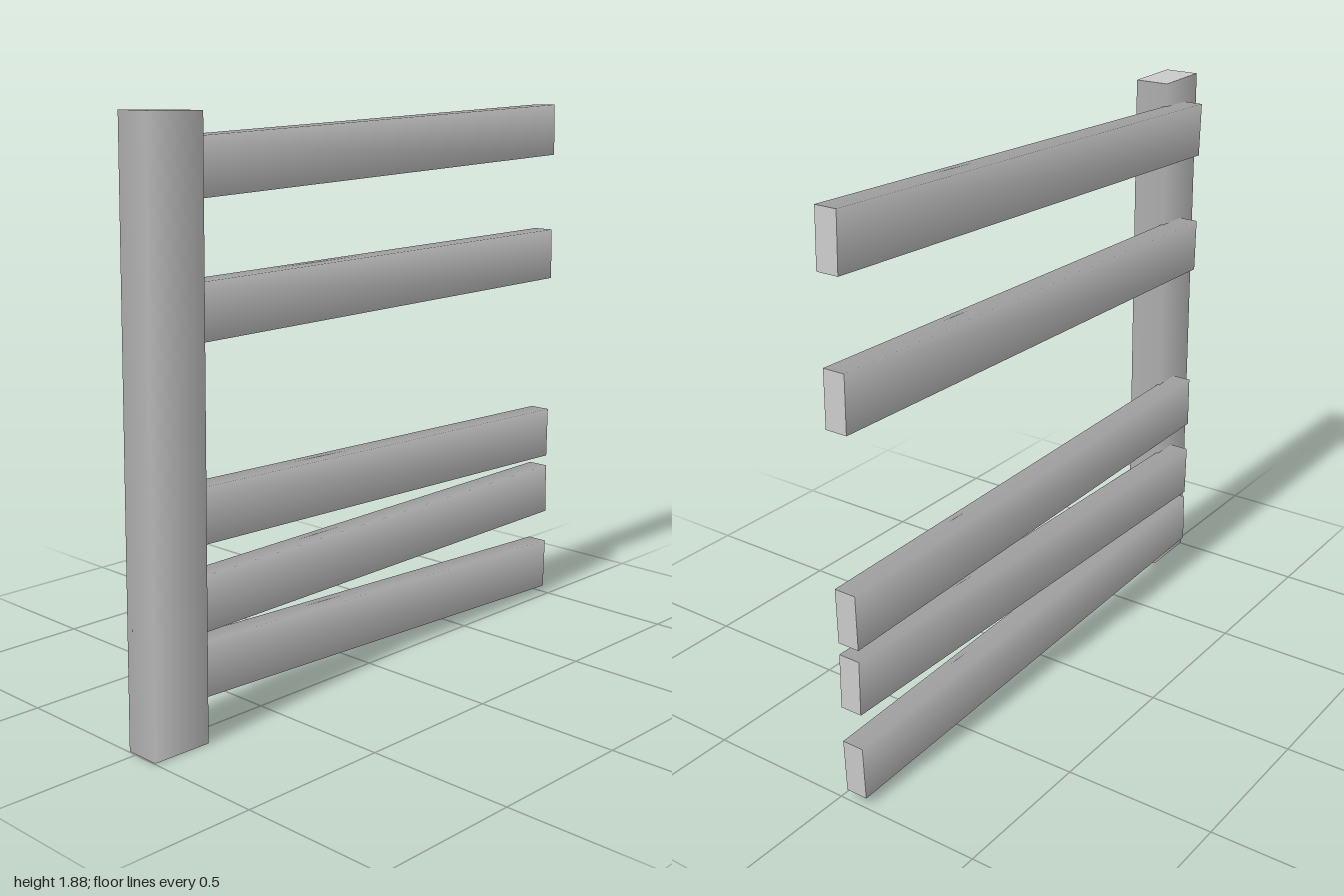
import * as THREE from 'three';

const DEG = Math.PI / 180;
const material = new THREE.MeshStandardMaterial({ color: 0xcccccc });

// Four-sided timber along y: sides shaded smoothly around the length, flat ends
function timber(name, width, length, depth) {
  const geometry = new THREE.CylinderGeometry(Math.SQRT1_2, Math.SQRT1_2, 1, 4);
  geometry.rotateY(Math.PI / 4);
  geometry.scale(width, length, depth);
  const mesh = new THREE.Mesh(geometry, material);
  mesh.name = name;
  return mesh;
}

export function createModel() {
  const group = new THREE.Group();
  group.name = 'fenceSection';

  // Post, leaning slightly
  const post = timber('post', 0.203, 1.873, 0.12);
  post.position.set(-0.883, 0.94, 0.034);
  post.rotation.z = -1 * DEG;
  group.add(post);

  // Rails fixed to the back of the post: [centre height, tilt in degrees]
  const rails = [[0.152, -2], [0.402, 1], [0.654, -1], [1.299, 1], [1.735, 2]];
  rails.forEach(([y, tilt], i) => {
    const rail = timber(`rail${i + 1}`, 0.18, 1.885, 0.075);
    rail.position.set(0.053, y, -0.0565);
    rail.rotation.z = Math.PI / 2 + tilt * DEG;
    group.add(rail);
  });

  return group;
}
